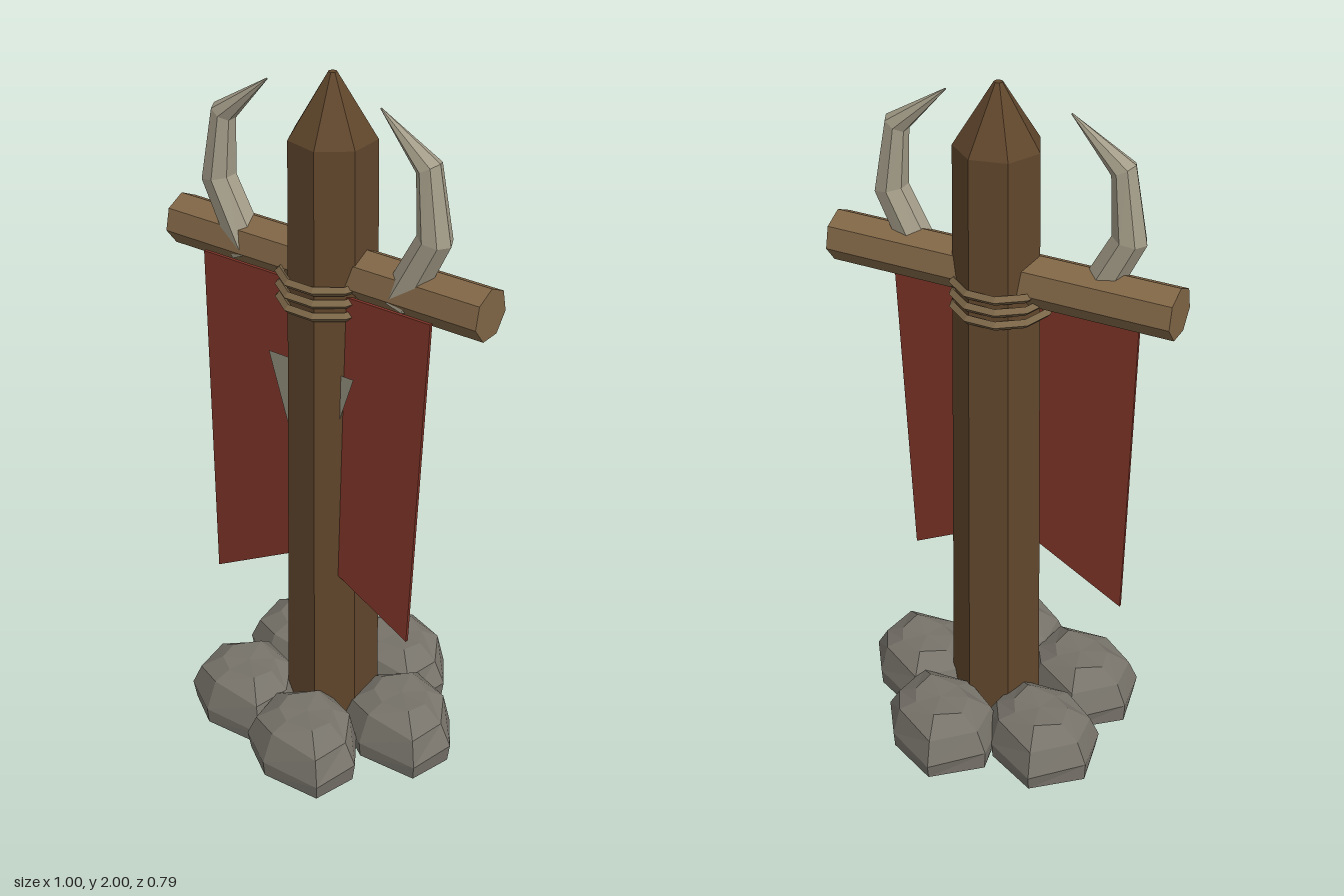
import * as THREE from 'three';

const mat = (color, extra = {}) => new THREE.MeshStandardMaterial({ color, flatShading: true, ...extra });
const wood = mat(0x60462c), lightWood = mat(0x806646), rope = mat(0x7a6547);
const cloth = mat(0x7c3327, { side: THREE.DoubleSide });
const bone = mat(0xa39c88), stone = mat(0x77736a), pale = mat(0x8b8676, { side: THREE.DoubleSide });
const CX = 0.013, CZ = 0.015; // pole axis

function add(parent, name, geometry, material, x = 0, y = 0, z = 0) {
  const mesh = new THREE.Mesh(geometry, material);
  mesh.name = name;
  mesh.position.set(x, y, z);
  parent.add(mesh);
  return mesh;
}

// Skin over rings of points (counterclockwise seen from the far end), capped at both ends
function loft(rings) {
  const pos = [], n = rings[0].length;
  const tri = (...pts) => pts.forEach((p) => pos.push(p.x, p.y, p.z));
  const mid = (ring) => ring.reduce((s, p) => s.add(p), new THREE.Vector3()).divideScalar(n);
  const first = rings[0], last = rings[rings.length - 1], m0 = mid(first), m1 = mid(last);
  for (let j = 0; j < n; j++) {
    const k = (j + 1) % n;
    for (let i = 0; i < rings.length - 1; i++) {
      const a = rings[i], b = rings[i + 1];
      tri(a[j], a[k], b[k]);
      tri(a[j], b[k], b[j]);
    }
    tri(m0, first[k], first[j]);
    tri(m1, last[j], last[k]);
  }
  const g = new THREE.BufferGeometry();
  g.setAttribute('position', new THREE.Float32BufferAttribute(pos, 3));
  g.computeVertexNormals();
  return g;
}

// Curved horn: tapering heptagonal sections along a bent path; s is the side
function hornGeometry(s) {
  const path = [[0.245, 1.445], [0.345, 1.64], [0.322, 1.825], [0.176, 1.945]]
    .map(([x, y]) => new THREE.Vector3(s * x, y, 0.033));
  const radii = [0.052, 0.048, 0.036, 0.002];
  return loft(path.map((p, i) => {
    const t = path[Math.min(i + 1, 3)].clone().sub(path[Math.max(i - 1, 0)]).normalize();
    return Array.from({ length: 7 }, (_, j) => {
      const a = (j / 7) * Math.PI * 2 + (s > 0 ? Math.PI : 0);
      const u = Math.cos(a) * radii[i], v = Math.sin(a) * radii[i];
      return new THREE.Vector3(p.x - t.y * u, p.y + t.x * u, p.z + v);
    });
  }));
}

// Boulder: an irregular outline shrinking upwards, with uneven upper rings
function rockGeometry() {
  const outline = [[-0.152, 0.086], [-0.043, 0.16], [0.144, 0.152], [0.18, 0.02],
    [0.112, -0.088], [-0.048, -0.166], [-0.18, -0.053]];
  const levels = [[0, 0.96, 0], [0.05, 1, 0.006], [0.125, 0.83, 0.012], [0.16, 0.48, 0.006]];
  return loft(levels.map(([y, k, jitter], i) => outline.map(([x, z], j) => {
    const f = k * (1 + jitter * 4 * Math.sin(j * 2.7 + i));
    return new THREE.Vector3(x * f, y + jitter * Math.sin(j * 4.1 + i * 2), z * f);
  })));
}

function shapeOf(points) {
  return new THREE.Shape(points.map(([x, y]) => new THREE.Vector2(x, y)));
}

export function createModel() {
  const model = new THREE.Group();
  model.name = 'bannerPost';

  // Seven-sided post with a sharpened end
  const start = -Math.PI / 2;
  add(model, 'post', new THREE.CylinderGeometry(0.118, 0.137, 1.83, 7, 1, false, start), wood, CX, 0.915, CZ);
  add(model, 'postTip', new THREE.CylinderGeometry(0.012, 0.118, 0.17, 7, 1, false, start), wood, CX, 1.915, CZ);

  // Crossbar with a ridge along its top
  const bar = new THREE.CylinderGeometry(0.072, 0.072, 1, 7, 1, false, start).rotateZ(-Math.PI / 2);
  add(model, 'crossbar', bar, lightWood, 0, 1.472, CZ);

  // Rope lashing
  const ring = new THREE.TorusGeometry(0.13, 0.013, 4, 10).rotateX(Math.PI / 2);
  [1.378, 1.415, 1.452].forEach((y) => add(model, 'ropeRing', ring, rope, 0.003, y, 0.018));

  // Swallow-tailed cloth, leaning slightly forward at the bottom, with a pointed emblem
  const banner = new THREE.Group();
  banner.name = 'banner';
  banner.position.set(0, 1.43, 0.077);
  banner.rotation.x = -0.022;
  model.add(banner);
  const flag = shapeOf([[-0.37, 0], [-0.34, -1.01], [0, -0.82], [0.33, -0.995], [0.365, 0]]);
  add(banner, 'cloth', new THREE.ExtrudeGeometry(flag, { depth: 0.01, bevelEnabled: false }), cloth, 0, 0, -0.005);
  const emblem = shapeOf([[-0.145, -0.23], [-0.003, -0.67], [0.137, -0.23]]);
  add(banner, 'emblem', new THREE.ShapeGeometry(emblem), pale, 0, 0, 0.01);

  // Horns on the crossbar
  [[1, 'leftHorn'], [-1, 'rightHorn']].forEach(([s, name]) => add(model, name, hornGeometry(s), bone, -0.004));

  // Ring of five boulders around the foot
  const rock = rockGeometry();
  for (let i = 0; i < 5; i++) {
    const a = (i / 5) * Math.PI * 2;
    add(model, 'boulder', rock, stone, 0.005 + 0.25 * Math.cos(a), 0, 0.242 * Math.sin(a));
  }
  return model;
}
